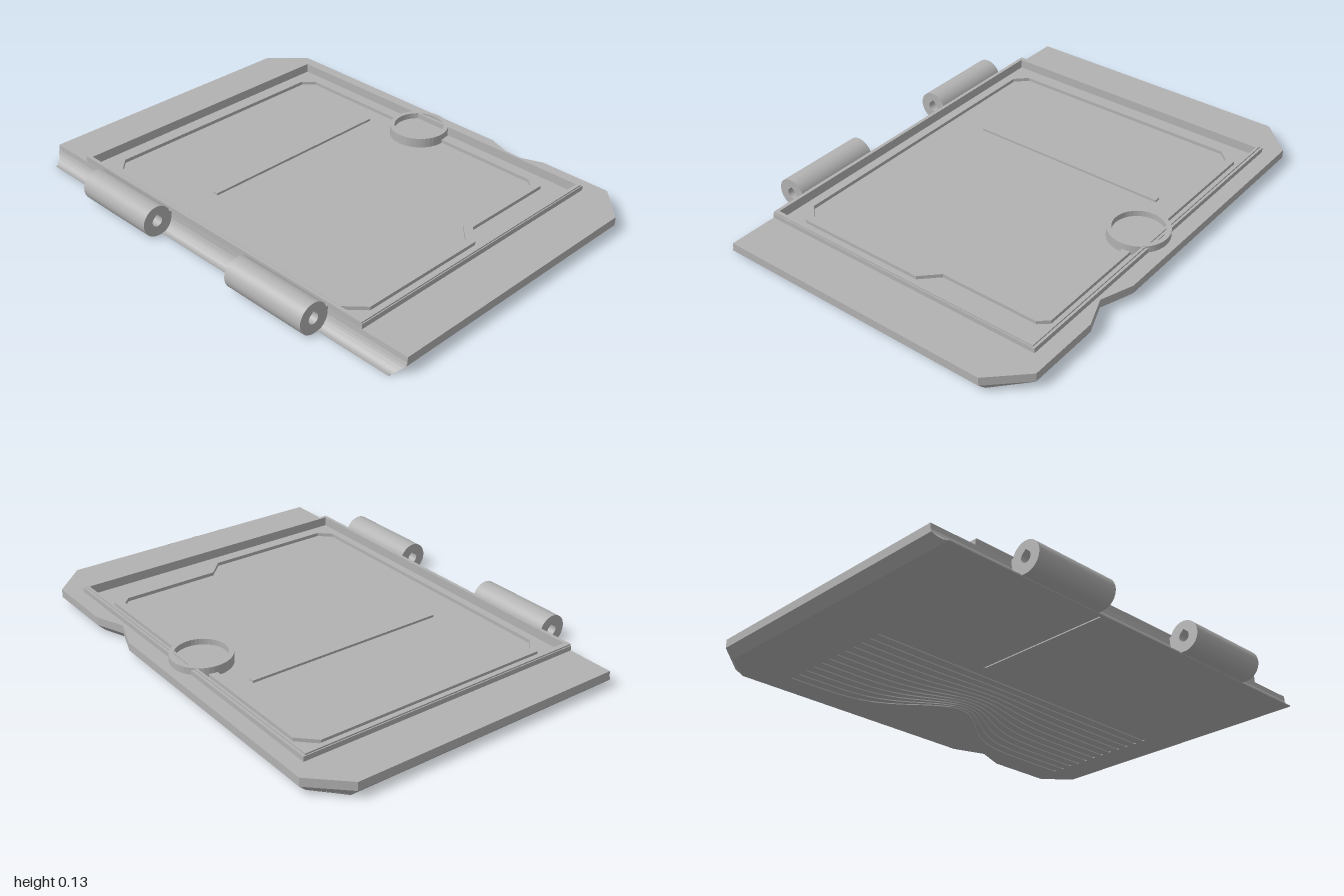
import * as THREE from 'three';

const grey = new THREE.MeshStandardMaterial({ color: 0xb2b2b2, side: THREE.DoubleSide });
grey.name = 'grey';

// Points are [x, z]; the flat shapes are laid down on the ground plane
const vec = pts => pts.map(([x, z]) => new THREE.Vector2(x, -z));
function makeShape(pts, holes = []) {
  const s = new THREE.Shape(vec(pts));
  holes.forEach(h => s.holes.push(new THREE.Path(vec(h))));
  return s;
}
function slab(name, pts, y0, y1, holes) {
  const g = new THREE.ExtrudeGeometry(makeShape(pts, holes), { depth: y1 - y0, bevelEnabled: false });
  return mesh(name, g.rotateX(-Math.PI / 2).translate(0, y0, 0));
}
function sheet(name, pts, y, holes) {
  return mesh(name, new THREE.ShapeGeometry(makeShape(pts, holes)).rotateX(-Math.PI / 2).translate(0, y, 0));
}
function mesh(name, geometry) {
  const m = new THREE.Mesh(geometry, grey);
  m.name = name;
  return m;
}
const rect = (x0, x1, z0, z1) => [[x0, z1], [x1, z1], [x1, z0], [x0, z0]];
const circle = (cx, cz, r, n = 40) => Array.from({ length: n }, (_, i) => {
  const a = i / n * Math.PI * 2;
  return [cx + r * Math.cos(a), cz - r * Math.sin(a)];
});

const hingeX = -0.675, hingeY = 0.067;

// Plate outline at height y: lower edge bevelled, hinge side scooped out
function outline(y) {
  const s = 0.037 * Math.max(0, 1 - y / 0.037);
  const left = hingeX + Math.sqrt(Math.max(0, 0.07 ** 2 - (y - hingeY) ** 2));
  const r = 0.74 - s, c = 0.865 - 0.4 * s, f = 1 - s;
  return [[left, f], [0.6, f], [r, c], [r, 0.55], [0.69 - s, 0.42], [r, 0.28], [r, -c], [0.6, -f], [left, -f]];
}
function loftSides(levels) {
  const pos = [];
  for (let k = 0; k < levels.length - 1; k++) {
    const [y0, y1] = [levels[k], levels[k + 1]];
    const lo = outline(y0), hi = outline(y1), n = lo.length;
    for (let i = 0; i < n; i++) {
      const j = (i + 1) % n;
      const p = (q, y) => [q[0], y, q[1]];
      const a = p(lo[i], y0), b = p(lo[j], y0), c = p(hi[j], y1), d = p(hi[i], y1);
      pos.push(...a, ...b, ...c, ...a, ...c, ...d);
    }
  }
  const g = new THREE.BufferGeometry();
  g.setAttribute('position', new THREE.Float32BufferAttribute(pos, 3));
  g.computeVertexNormals();
  return g;
}

// Contour grooves under the plate, bending round the finger ring
function grooves() {
  const list = [];
  for (let i = 0; i < 12; i++) {
    const a = [], b = [];
    for (let k = 0; k <= 28; k++) {
      const z = 0.82 - 1.52 * k / 28;
      const x = 0.03 + 0.05 * i - 0.24 * (i / 11) ** 1.5 * Math.exp(-((z / 0.24) ** 2));
      a.push([x - 0.006, z]);
      b.unshift([x + 0.006, z]);
    }
    list.push(a.concat(b));
  }
  list.push(rect(-0.64, -0.03, -0.228, -0.212));
  return list;
}

function hinge(z0, z1) {
  const group = new THREE.Group();
  group.name = 'hinge';
  const s = new THREE.Shape().absarc(0, 0, 0.065, 0, Math.PI * 2, false);
  // Teardrop pin hole
  const hole = new THREE.Path();
  hole.absarc(0, 0, 0.023, Math.PI * 0.8, Math.PI * 2.2, false);
  hole.lineTo(0, 0.031);
  hole.closePath();
  s.holes.push(hole);
  const barrel = new THREE.ExtrudeGeometry(s, { depth: z1 - z0, bevelEnabled: false, curveSegments: 24 });
  group.add(mesh('hingeBarrel', barrel.translate(hingeX, hingeY, z0)));
  // Web joining the barrel to the plate
  const web = new THREE.Shape([[-0.675, 0.002], [-0.6, 0.002], [-0.6, 0.085], [-0.615, 0.085], [-0.63, 0.03]]
    .map(p => new THREE.Vector2(...p)));
  group.add(mesh('hingeWeb', new THREE.ExtrudeGeometry(web, { depth: z1 - z0, bevelEnabled: false }).translate(0, 0, z0)));
  return group;
}

export function createModel() {
  const model = new THREE.Group();
  model.name = 'hingedCover';

  const top = 0.073, floor = 0.06, rim = 0.1;
  const well = rect(-0.59, 0.655, -0.775, 0.77);

  // Main plate
  model.add(mesh('plateSides', loftSides([0, 0.008, 0.018, 0.028, 0.037, 0.05, top])));
  model.add(sheet('plateTop', outline(top), top, [well]));
  model.add(slab('groovedUnderside', outline(0), 0, 0.005, grooves()));
  model.add(sheet('grooveBed', outline(0.005), 0.0049));
  model.add(sheet('wellFloor', well, floor));

  // Raised rim round the well
  model.add(slab('rim', rect(-0.605, 0.675, -0.8, 0.79), floor, 0.094, [well]));
  model.add(slab('rimTop', rect(-0.605, 0.665, -0.796, 0.786), 0.094, rim, [well]));

  // Inner ridge with cut corners and a step along the front
  const ridgeOuter = [[-0.565, 0.65], [-0.495, 0.725], [0.08, 0.725], [0.15, 0.655], [0.58, 0.655],
    [0.62, 0.62], [0.62, -0.66], [0.55, -0.73], [-0.495, -0.73], [-0.565, -0.655]];
  const ridgeInner = [[-0.535, 0.64], [-0.485, 0.69], [0.065, 0.69], [0.135, 0.62], [0.555, 0.62],
    [0.585, 0.59], [0.585, -0.65], [0.54, -0.695], [-0.485, -0.695], [-0.535, -0.645]];
  model.add(slab('innerRidge', ridgeOuter, floor, 0.075, [ridgeInner]));

  // Bar across the panel
  model.add(slab('crossBar', rect(-0.38, 0.51, -0.252, -0.228), floor, 0.07));

  // Finger ring
  model.add(slab('fingerRing', circle(0.578, 0, 0.126), 0.055, 0.102, [circle(0.578, 0, 0.106)]));
  model.add(sheet('fingerRingBed', circle(0.578, 0, 0.107), 0.077));

  // Hinges
  model.add(hinge(-0.63, -0.24), hinge(0.23, 0.625));

  // Small index marks on the front edge
  for (const x of [-0.14, -0.005, 0.132]) {
    const mark = new THREE.CircleGeometry(0.014, 12, Math.PI, Math.PI);
    model.add(mesh('indexMark', mark.translate(x, top, 1.001)));
  }
  return model;
}
